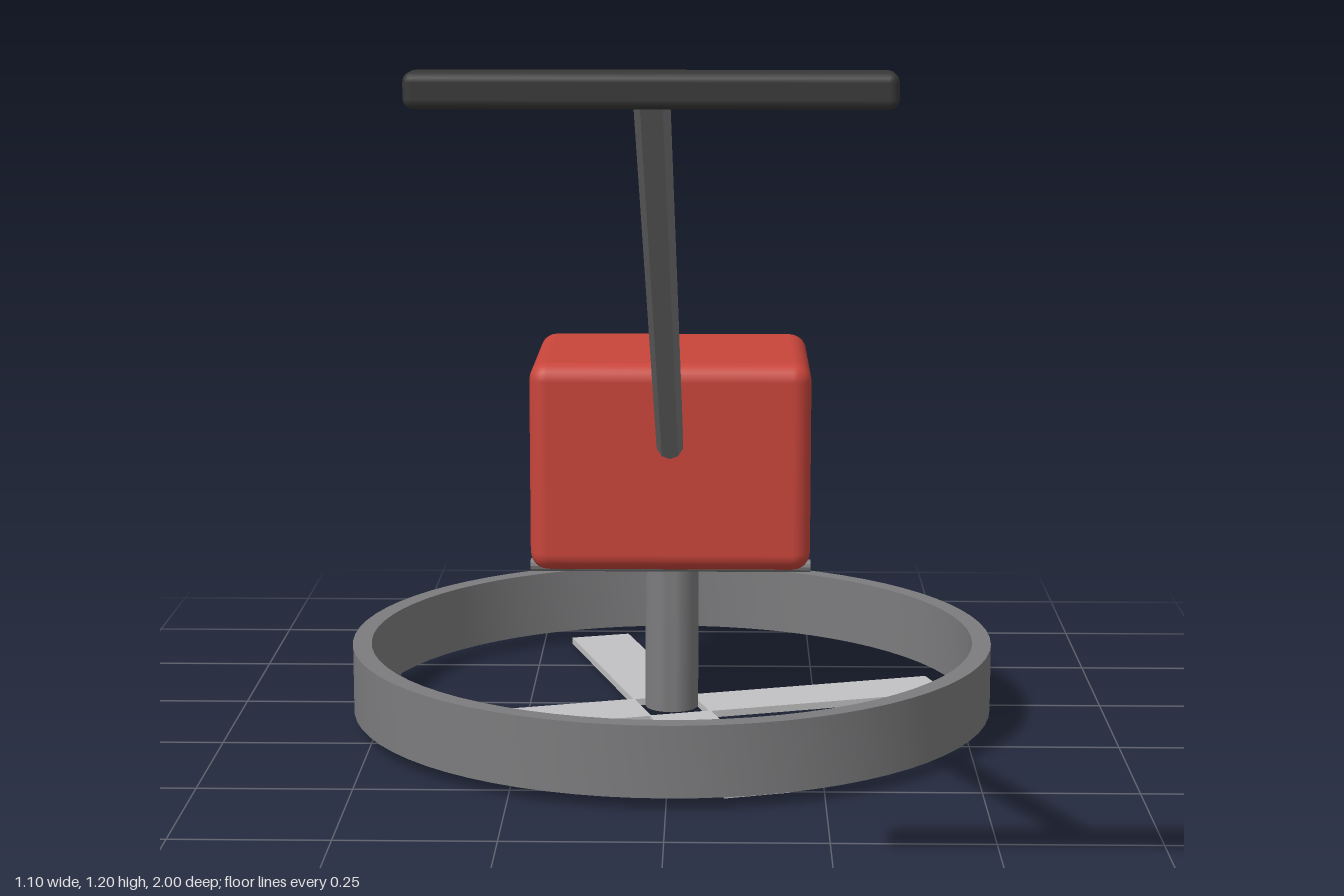
import * as THREE from 'three';
import { toCreasedNormals } from 'three/addons/utils/BufferGeometryUtils.js';
import { RoundedBoxGeometry } from 'three/addons/geometries/RoundedBoxGeometry.js';

const material = (name, color) => {
  const m = new THREE.MeshStandardMaterial({ color });
  m.name = name;
  return m;
};

export function createModel() {
  const red = material('red paint', 0xc8453b);
  const grey = material('grey metal', 0x7c7c7e);
  const dark = material('dark grip', 0x383838);
  const silver = material('blade steel', 0xc2c2c4);

  const model = new THREE.Group();
  model.name = 'rotaryTrimmer';
  const axisZ = -0.45;

  const add = (name, geometry, mat, x, y, z, parent = model) => {
    const mesh = new THREE.Mesh(geometry, mat);
    mesh.name = name;
    mesh.position.set(x, y, z);
    parent.add(mesh);
    return mesh;
  };

  // Straight bar between two points
  const rod = (name, a, b, radius, sides, mat) => {
    const dir = b.clone().sub(a);
    const geo = toCreasedNormals(new THREE.CylinderGeometry(radius, radius, dir.length(), sides), 0.5);
    const mid = a.clone().add(b).multiplyScalar(0.5);
    const mesh = add(name, geo, mat, mid.x, mid.y, mid.z);
    mesh.quaternion.setFromUnitVectors(new THREE.Vector3(0, 1, 0), dir.normalize());
    return mesh;
  };

  // Guard ring: a rectangular section turned around the shaft
  const section = [[0.518, 0.02], [0.55, 0.02], [0.55, 0.137], [0.518, 0.137], [0.518, 0.02]]
    .map(([r, y]) => new THREE.Vector2(r, y));
  add('guardRing', toCreasedNormals(new THREE.LatheGeometry(section, 72), 0.6), grey, 0, 0, axisZ);

  // Four flat blades around the hub
  const blades = new THREE.Group();
  blades.name = 'blades';
  blades.position.set(0, 0, axisZ);
  model.add(blades);
  for (let i = 0; i < 4; i++) {
    const arm = new THREE.Group();
    arm.name = 'bladeArm';
    arm.rotation.y = THREE.MathUtils.degToRad(17) + i * Math.PI / 2;
    blades.add(arm);
    add('blade', new THREE.BoxGeometry(0.44, 0.012, 0.11), silver, 0.272, 0.006, 0, arm);
  }

  // Drive shaft and motor housing
  rod('driveShaft', new THREE.Vector3(0, 0.012, axisZ), new THREE.Vector3(0, 0.32, axisZ), 0.046, 32, grey);
  add('motorHousing', new RoundedBoxGeometry(0.466, 0.35, 0.37, 3, 0.03), red, 0, 0.467, axisZ);

  // Thin cross rod under the front of the housing
  rod('crossRod', new THREE.Vector3(-0.235, 0.291, -0.326), new THREE.Vector3(0.235, 0.291, -0.326), 0.011, 12, grey);

  // Push pole and hand grip
  rod('pushPole', new THREE.Vector3(0, 0.483, -0.317), new THREE.Vector3(0, 1.17, 0.96), 0.023, 10, grey);
  add('handGrip', new RoundedBoxGeometry(0.584, 0.044, 0.068, 2, 0.012), dark, 0, 1.173, 0.966);

  return model;
}
